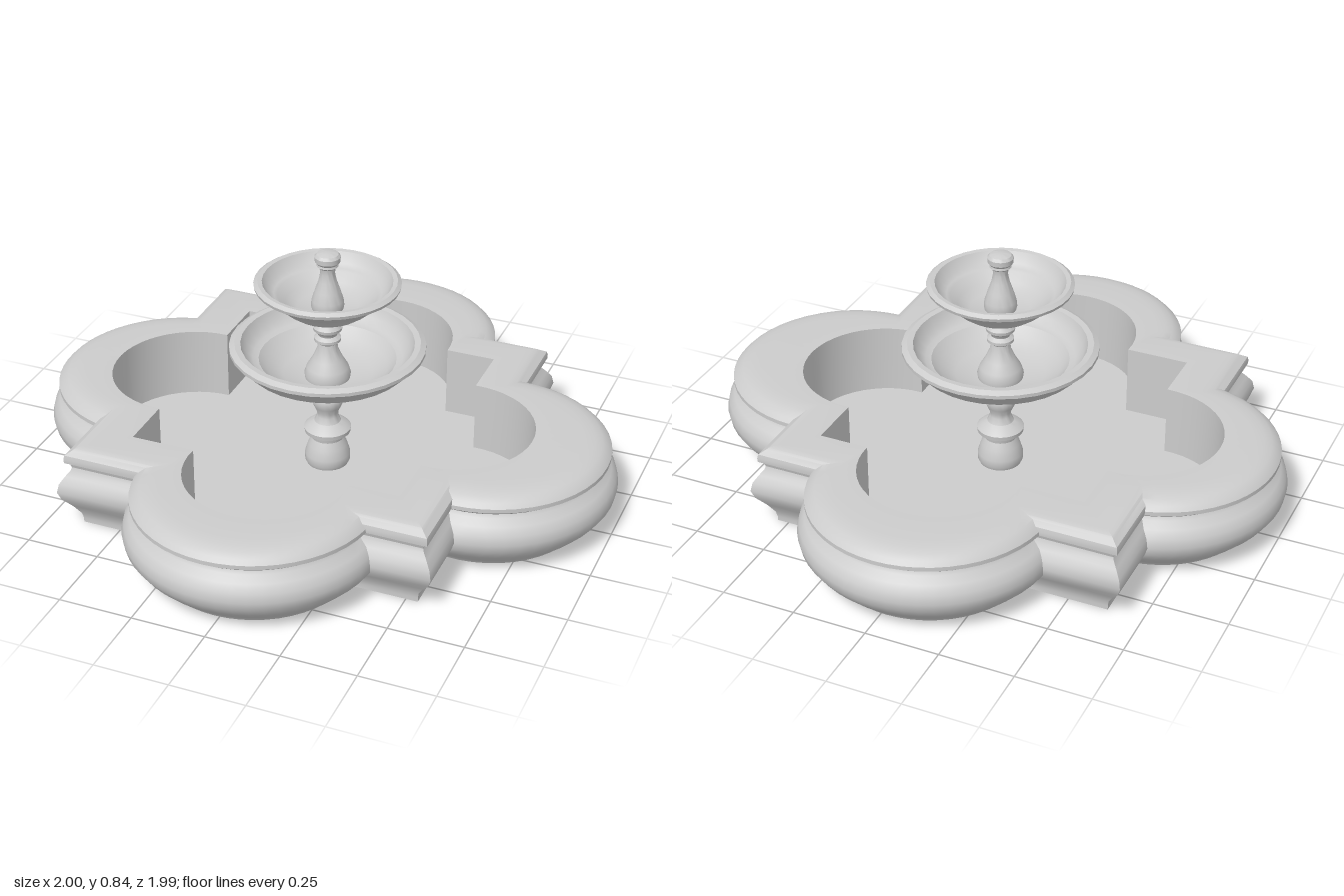
import * as THREE from 'three';
import { toCreasedNormals } from 'three/addons/utils/BufferGeometryUtils.js';

const ARC = 24;

// Quatrefoil with square corners, as [x, z] points. Each side has the lobe
// centre, lobe radius r and the distance of the square's edge.
function outline(sides, r) {
  const pts = [];
  sides.forEach(({ cx, cz, edge }, k) => {
    const dir = (k * Math.PI) / 2;
    const along = cx * Math.cos(dir) + cz * Math.sin(dir);
    const half = Math.acos((Math.abs(edge) - along) / r);
    for (let i = 0; i <= ARC; i++) {
      const a = dir - half + (2 * half * i) / ARC;
      pts.push([cx + r * Math.cos(a), cz + r * Math.sin(a)]);
    }
    const next = sides[(k + 1) % 4].edge;
    pts.push(k % 2 ? [next, edge] : [edge, next]);
  });
  return pts;
}

// Outer outline, with offsets for the lobes and the square corners
function outer(lobe, corner) {
  return outline([
    { cx: 0.57, cz: 0, edge: 0.6 + corner },
    { cx: -0.018, cz: 0.565, edge: 0.647 + corner },
    { cx: -0.572, cz: 0, edge: -0.693 - corner },
    { cx: -0.018, cz: -0.565, edge: -0.645 - corner },
  ], 0.428 + lobe);
}

function inner() {
  return outline([
    { cx: 0.443, cz: 0, edge: 0.43 },
    { cx: -0.012, cz: 0.49, edge: 0.465 },
    { cx: -0.51, cz: 0, edge: -0.5 },
    { cx: -0.012, cz: -0.475, edge: -0.465 },
  ], 0.272);
}

// Skin between rings of equal point count
function loft(rings) {
  const n = rings[0].pts.length;
  const pos = [], idx = [];
  for (const { y, pts } of rings) for (const [x, z] of pts) pos.push(x, y, z);
  for (let i = 0; i < rings.length - 1; i++) {
    for (let j = 0; j < n; j++) {
      const a = i * n + j, c = i * n + ((j + 1) % n);
      idx.push(a, a + n, c, a + n, c + n, c);
    }
  }
  const g = new THREE.BufferGeometry();
  g.setAttribute('position', new THREE.Float32BufferAttribute(pos, 3));
  g.setIndex(idx);
  return toCreasedNormals(g, 0.6);
}

export function createModel() {
  const group = new THREE.Group();
  const stone = new THREE.MeshStandardMaterial({ color: 0xcccccc });

  const add = (name, geometry) => {
    const mesh = new THREE.Mesh(geometry, stone);
    mesh.name = name;
    group.add(mesh);
    return mesh;
  };
  const turned = (name, profile) => {
    const pts = profile.map(([r, y]) => new THREE.Vector2(r, y));
    const mesh = add(name, toCreasedNormals(new THREE.LatheGeometry(pts, 32), 0.6));
    mesh.position.set(-0.007, 0, -0.008);
  };

  // Basin: moulded outside [lobe offset, corner offset, y], domed rim,
  // straight inner wall and floor
  const moulding = [
    [-0.102, -0.06, 0], [-0.092, -0.06, 0.015], [-0.065, -0.056, 0.035], [-0.03, -0.036, 0.07],
    [-0.006, -0.01, 0.105], [0, 0, 0.135], [-0.007, -0.006, 0.165], [-0.025, -0.022, 0.19],
    [-0.05, -0.036, 0.208], [-0.056, -0.04, 0.22], [-0.042, -0.036, 0.232],
    [-0.027, -0.022, 0.242], [-0.027, -0.021, 0.256], [-0.04, -0.024, 0.27],
    [-0.06, -0.042, 0.282], [-0.085, -0.05, 0.288], [-0.12, -0.07, 0.292],
  ];
  const wall = inner();
  const centre = wall.map(() => [0, 0]);
  add('basin', loft([
    { y: 0, pts: centre },
    ...moulding.map(([lobe, corner, y]) => ({ y, pts: outer(lobe, corner) })),
    { y: 0.29, pts: wall },
    { y: 0.042, pts: wall },
    { y: 0.042, pts: centre },
  ]));

  // Pedestal under the lower bowl
  turned('pedestal', [
    [0.07, 0.04], [0.077, 0.055], [0.077, 0.08], [0.066, 0.115], [0.055, 0.14], [0.058, 0.155],
    [0.078, 0.165], [0.08, 0.18], [0.065, 0.193], [0.045, 0.205], [0.036, 0.225],
    [0.036, 0.24], [0.046, 0.262], [0.053, 0.28], [0.052, 0.295], [0.045, 0.312], [0.06, 0.34],
  ]);

  // Lower bowl, outside up and inside down
  turned('lowerBowl', [
    [0, 0.328], [0.06, 0.33], [0.085, 0.345], [0.12, 0.356], [0.17, 0.378], [0.205, 0.402],
    [0.225, 0.418], [0.25, 0.42], [0.272, 0.43], [0.285, 0.442], [0.3, 0.462],
    [0.328, 0.485], [0.328, 0.497], [0.31, 0.507], [0.29, 0.505], [0.275, 0.47],
    [0.25, 0.45], [0.23, 0.446], [0.2, 0.415], [0.15, 0.39], [0.08, 0.375], [0, 0.372],
  ]);

  // Baluster between the bowls
  turned('middleStem', [
    [0.075, 0.37], [0.078, 0.39], [0.07, 0.415], [0.052, 0.445], [0.036, 0.48], [0.032, 0.505],
    [0.045, 0.515], [0.045, 0.525], [0.032, 0.535], [0.036, 0.545], [0.048, 0.555],
    [0.05, 0.566], [0.04, 0.58], [0.033, 0.592], [0.045, 0.606],
  ]);

  // Upper bowl
  turned('upperBowl', [
    [0, 0.598], [0.045, 0.6], [0.08, 0.607], [0.12, 0.625], [0.15, 0.647], [0.165, 0.668],
    [0.18, 0.674], [0.195, 0.685], [0.213, 0.702], [0.24, 0.717], [0.243, 0.728],
    [0.23, 0.737], [0.215, 0.735], [0.195, 0.7], [0.177, 0.69], [0.165, 0.686],
    [0.14, 0.657], [0.1, 0.638], [0, 0.628],
  ]);

  // Finial
  turned('finial', [
    [0.05, 0.625], [0.055, 0.645], [0.053, 0.665], [0.042, 0.7], [0.03, 0.735], [0.024, 0.765],
    [0.027, 0.782], [0.036, 0.79], [0.034, 0.797], [0.042, 0.806], [0.043, 0.823],
    [0.036, 0.832], [0.02, 0.837], [0, 0.838],
  ]);

  return group;
}
